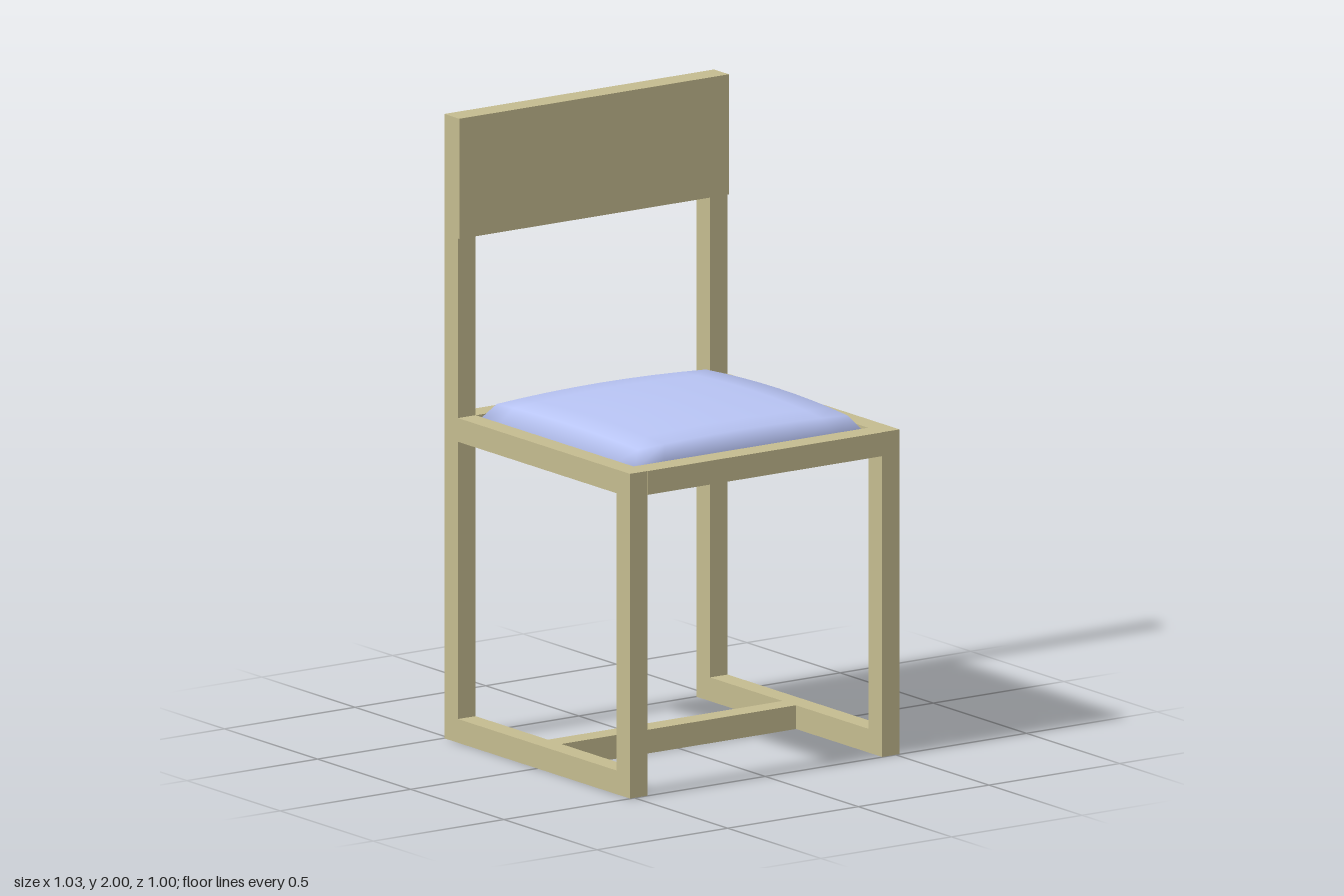
import * as THREE from 'three';
import { mergeVertices } from 'three/addons/utils/BufferGeometryUtils.js';

const wood = new THREE.MeshStandardMaterial({ color: 0xc4bb8f });
const fabric = new THREE.MeshStandardMaterial({ color: 0xb8c4f4 });

// Axis-aligned bar given by its extents
function bar(parent, name, [x0, x1], [y0, y1], [z0, z1]) {
  const mesh = new THREE.Mesh(new THREE.BoxGeometry(x1 - x0, y1 - y0, z1 - z0), wood);
  mesh.position.set((x0 + x1) / 2, (y0 + y1) / 2, (z0 + z1) / 2);
  mesh.name = name;
  parent.add(mesh);
}

// Pillow: a box whose faces bulge and whose rim is bevelled
function cushion() {
  let geo = new THREE.BoxGeometry(2, 2, 2, 8, 2, 8);
  geo.deleteAttribute('uv');
  geo.deleteAttribute('normal');
  geo = mergeVertices(geo);
  const p = geo.attributes.position;
  for (let i = 0; i < p.count; i++) {
    const u = p.getX(i), v = p.getY(i), w = p.getZ(i);
    const inset = v === 0 ? 1 : 0.91;
    const rise = 0.052 + 0.012 * (2 - u * u - w * w) + 0.006 * (1 - u * u) * (1 - w * w);
    p.setXYZ(i,
      u * (0.44 + 0.008 * (1 - w * w)) * inset,
      1.026 + v * rise,
      w * (0.417 + 0.006 * (1 - u * u)) * inset);
  }
  geo.computeVertexNormals();
  const mesh = new THREE.Mesh(geo, fabric);
  mesh.name = 'seatCushion';
  return mesh;
}

export function createModel() {
  const chair = new THREE.Group();
  chair.name = 'chair';
  const inX = 0.449, outX = 0.516, inZ = 0.425, outZ = 0.498;
  const seatY = [0.964, 1.04], footY = [0, 0.076];

  // Side frames: legs, floor rail and seat rail
  for (const s of [-1, 1]) {
    const side = new THREE.Group();
    side.name = s > 0 ? 'leftFrame' : 'rightFrame';
    const x = s > 0 ? [inX, outX] : [-outX, -inX];
    bar(side, 'frontLeg', x, [0, 1.04], [inZ, outZ]);
    bar(side, 'backPost', x, [0, 2], [-outZ, -inZ]);
    bar(side, 'floorRail', x, footY, [-inZ, inZ]);
    bar(side, 'seatSideRail', x, seatY, [-inZ, inZ]);
    chair.add(side);
  }

  // Cross members
  bar(chair, 'seatFrontRail', [-inX, inX], seatY, [0.423, 0.5]);
  bar(chair, 'seatBackRail', [-inX, inX], seatY, [-0.5, -0.423]);
  bar(chair, 'floorStretcher', [-inX, inX], footY, [-0.036, 0.036]);

  // Thin backrest panel with a thin cap between the posts
  bar(chair, 'backrestPanel', [-outX, outX], [1.615, 2], [-0.425, -0.418]);
  bar(chair, 'backrestCap', [-inX, inX], [1.994, 2], [-outZ, -0.425]);

  chair.add(cushion());
  return chair;
}
